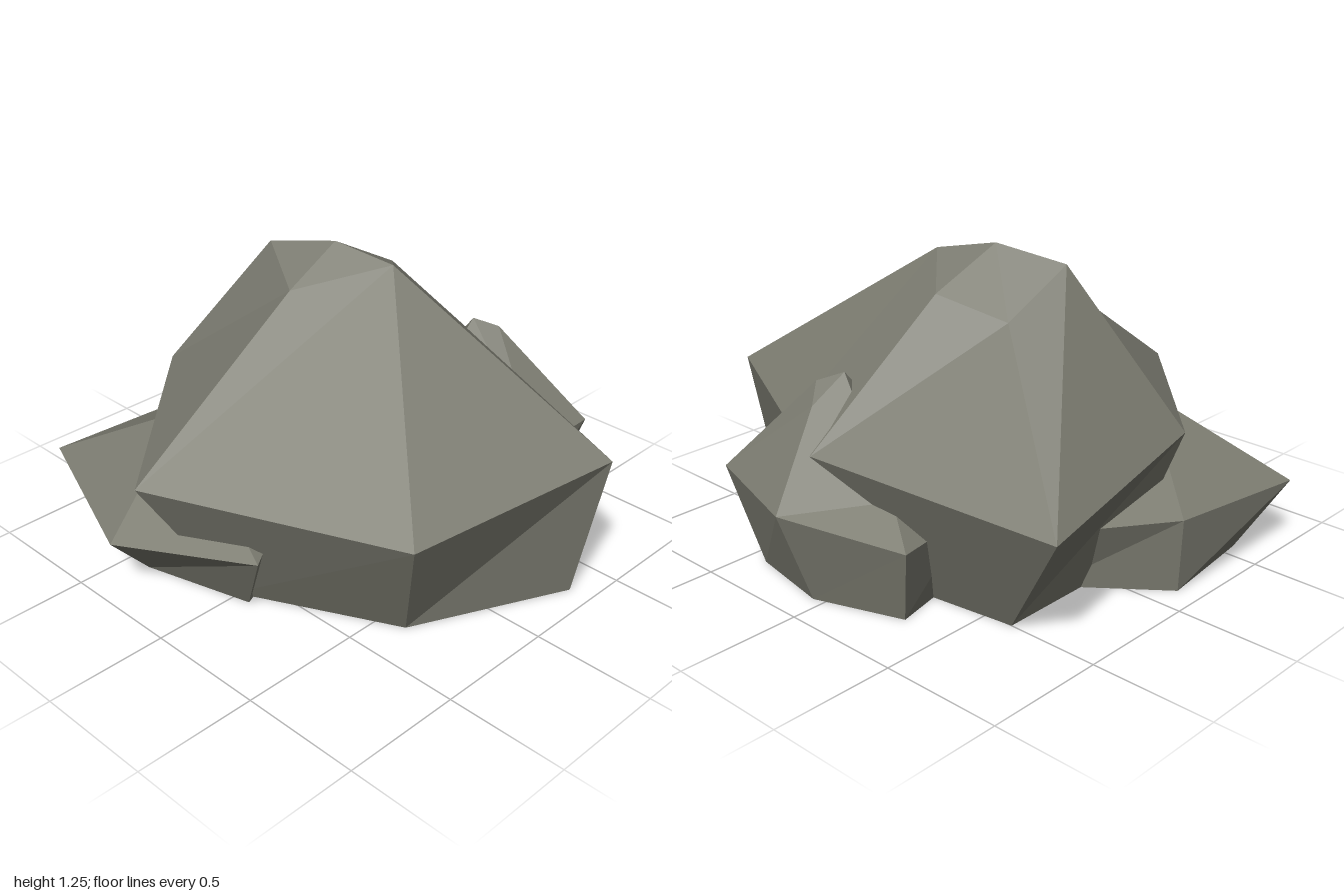
import * as THREE from 'three';

// One faceted boulder shell, open underneath: floor ring [x, z], shoulder ring [x, y, z]
// (both anticlockwise from above), crown points, and crown triangles
// (shoulder indices first, then crown points).
function rock(name, material, floor, shoulder, crown, crownFaces) {
  const n = floor.length;
  const base = floor.map(([x, z]) => [x, 0, z]);
  const upper = [...shoulder, ...crown];
  const positions = [];
  const face = (a, b, c) => positions.push(...a, ...b, ...c);

  // undercut side walls
  for (let i = 0; i < n; i++) {
    const j = (i + 1) % n;
    face(base[i], base[j], upper[j]);
    face(base[i], upper[j], upper[i]);
  }
  crownFaces.forEach(([a, b, c]) => face(upper[a], upper[b], upper[c]));

  const geometry = new THREE.BufferGeometry();
  geometry.setAttribute('position', new THREE.Float32BufferAttribute(positions, 3));
  geometry.computeVertexNormals();
  const mesh = new THREE.Mesh(geometry, material);
  mesh.name = name;
  return mesh;
}

// Triangles from a ring of n points to a single peak
const fan = (n) => Array.from({ length: n }, (_, i) => [i, (i + 1) % n, n]);

export function createModel() {
  const group = new THREE.Group();
  group.name = 'rockCluster';
  const stone = new THREE.MeshStandardMaterial({ color: 0x7b7b70, side: THREE.DoubleSide, flatShading: true });
  stone.name = 'stone grey';

  // Large central boulder
  group.add(rock('mainBoulder', stone,
    [[-0.02, 0.62], [0.61, 0.31], [0.905, -0.32], [0.36, -0.53], [0.04, -0.59], [-0.62, -0.5], [-0.62, 0.15]],
    [[-0.165, 0.555, 0.945], [0.795, 0.51, 0.48], [1, 0.6, -0.385], [0.375, 0.57, -0.685],
      [0.08, 0.56, -0.825], [-0.96, 0.5, -0.66], [-0.835, 0.6, 0.215]],
    [[-0.4, 1.2, 0.03], [-0.145, 1.11, 0.17], [0.11, 1.2, -0.13], [-0.08, 1.1, -0.33],
      [-0.34, 1.02, -0.22], [-0.13, 1.25, -0.06]],
    [[0, 1, 9], [0, 9, 8], [1, 2, 9], [2, 3, 9], [3, 10, 9], [3, 4, 10], [4, 11, 10], [4, 5, 11], [5, 7, 11],
      [5, 6, 7], [6, 8, 7], [6, 0, 8], [7, 8, 12], [8, 9, 12], [9, 10, 12], [10, 11, 12], [11, 7, 12]]));

  // Low slab leaning out at the front
  group.add(rock('frontRock', stone,
    [[-0.39, 0.745], [0.07, 0.62], [-0.08, 0.25], [-0.52, -0.19], [-0.905, 0.12], [-0.85, 0.57]],
    [[-0.31, 0.26, 0.975], [0.245, 0.31, 0.72], [-0.08, 0.36, 0.2], [-0.58, 0.28, -0.3],
      [-0.93, 0.31, 0.1], [-1, 0.29, 0.715]],
    [[-0.46, 0.585, 0.48]],
    fan(6)));

  // Small boulder at the back
  group.add(rock('backRock', stone,
    [[0.43, -0.55], [0.41, -0.8], [0.05, -0.865], [-0.31, -0.735], [-0.24, -0.42], [0.05, -0.28]],
    [[0.5, 0.355, -0.59], [0.535, 0.4, -0.87], [0.1, 0.365, -0.98], [-0.38, 0.31, -0.79],
      [-0.3, 0.3, -0.38], [0.05, 0.33, -0.22]],
    [[0.14, 0.72, -0.755], [0.2, 0.785, -0.68], [0.12, 0.82, -0.61], [-0.2, 0.42, -0.68]],
    [[0, 1, 7], [0, 7, 8], [1, 6, 7], [1, 2, 6], [6, 8, 7], [2, 3, 9], [2, 9, 6],
      [9, 8, 6], [3, 4, 9], [4, 5, 9], [5, 8, 9], [5, 0, 8]]));

  return group;
}
